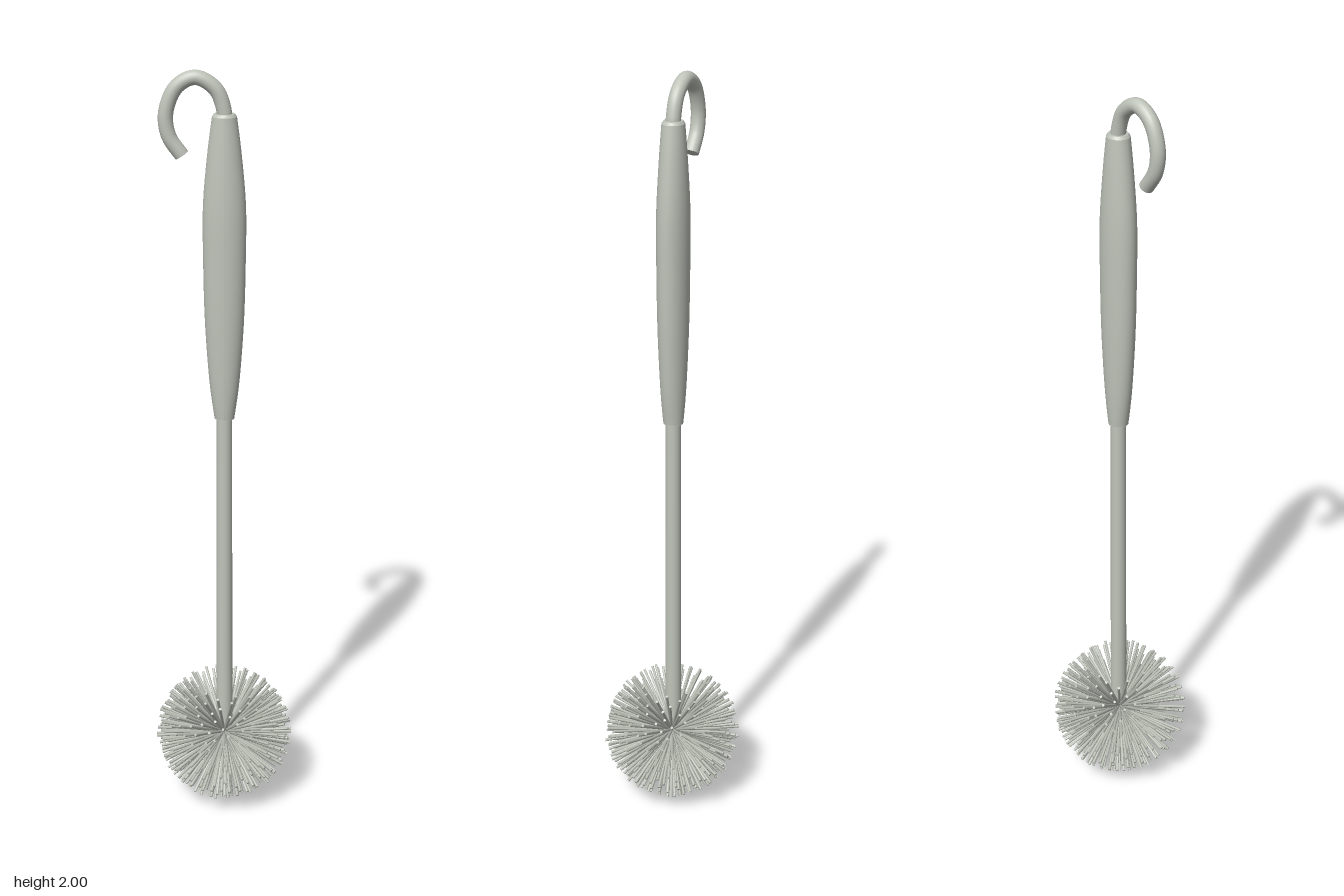
import * as THREE from 'three';
import { mergeGeometries } from 'three/addons/utils/BufferGeometryUtils.js';

const V = (x, y, z = 0) => new THREE.Vector3(x, y, z);

export function createModel() {
  const group = new THREE.Group();
  const grey = new THREE.MeshStandardMaterial({ color: 0xbfc4ba });
  grey.name = 'pale grey plastic';
  const add = (name, geometry, z = -0.005) => {
    const mesh = new THREE.Mesh(geometry, grey);
    mesh.name = name;
    mesh.position.z = z;
    group.add(mesh);
  };

  // Slender rod running into the middle of the ball
  const rod = new THREE.CylinderGeometry(0.02, 0.022, 0.95, 24);
  rod.translate(0, 0.66, 0);
  add('rod', rod);

  // Grip: a turned swelling, flattened front to back
  const swelling = new THREE.SplineCurve([
    [0.026, 1.1], [0.039, 1.2], [0.05, 1.36], [0.054, 1.52], [0.054, 1.66], [0.043, 1.79], [0.031, 1.885],
  ].map(([r, y]) => new THREE.Vector2(r, y))).getPoints(28);
  const grip = new THREE.LatheGeometry(swelling, 40);
  const p = grip.attributes.position;
  for (let i = 0; i < p.count; i++) {
    const r = Math.hypot(p.getX(i), p.getZ(i));
    const depth = 0.027 + (r - 0.027) * 0.48;
    p.setZ(i, p.getZ(i) * Math.min(1, depth / r));
  }
  grip.computeVertexNormals();
  add('grip', grip);

  // Flat ends of the grip
  const topCap = new THREE.CylinderGeometry(0.026, 0.031, 0.007, 40);
  topCap.scale(1, 1, 0.93);
  topCap.translate(0, 1.8885, 0);
  add('gripTop', topCap);
  const bottomCap = new THREE.CylinderGeometry(0.026, 0.026, 0.004, 40);
  bottomCap.translate(0, 1.1, 0);
  add('gripBottom', bottomCap);

  // Hanging hook, closed at its free end
  const hookPath = new THREE.CatmullRomCurve3([
    V(0.001, 1.86), V(-0.001, 1.9), V(-0.022, 1.953), V(-0.071, 1.981),
    V(-0.118, 1.958), V(-0.145, 1.893), V(-0.138, 1.836), V(-0.106, 1.788),
  ]);
  const hook = new THREE.TubeGeometry(hookPath, 48, 0.019, 20, false);
  const tip = new THREE.CircleGeometry(0.019, 20);
  tip.applyQuaternion(new THREE.Quaternion().setFromUnitVectors(V(0, 0, 1), hookPath.getTangent(1)));
  tip.translate(-0.106, 1.788, 0);
  add('hook', mergeGeometries([hook, tip]));

  // Ball of straight bristles spread on a spiral, with a gap around the rod
  let seed = 7;
  const random = () => (seed = (seed * 16807) % 2147483647) / 2147483647;
  const bristles = [];
  const count = 430;
  for (let i = 0; i < count; i++) {
    const h = -0.995 + (1.865 * i) / (count - 1);
    const ring = Math.sqrt(1 - h * h);
    const a = i * 2.39996 + (random() - 0.5) * 0.1;
    const direction = V(ring * Math.cos(a), h, ring * Math.sin(a));
    const length = 0.178 + random() * 0.009;
    const bristle = new THREE.CylinderGeometry(0.0038, 0.0038, length, 6);
    bristle.translate(0, length / 2, 0);
    bristle.applyQuaternion(new THREE.Quaternion().setFromUnitVectors(V(0, 1, 0), direction));
    bristle.translate(0, 0.185, 0);
    bristles.push(bristle);
  }
  add('bristles', mergeGeometries(bristles), -0.001);

  return group;
}
